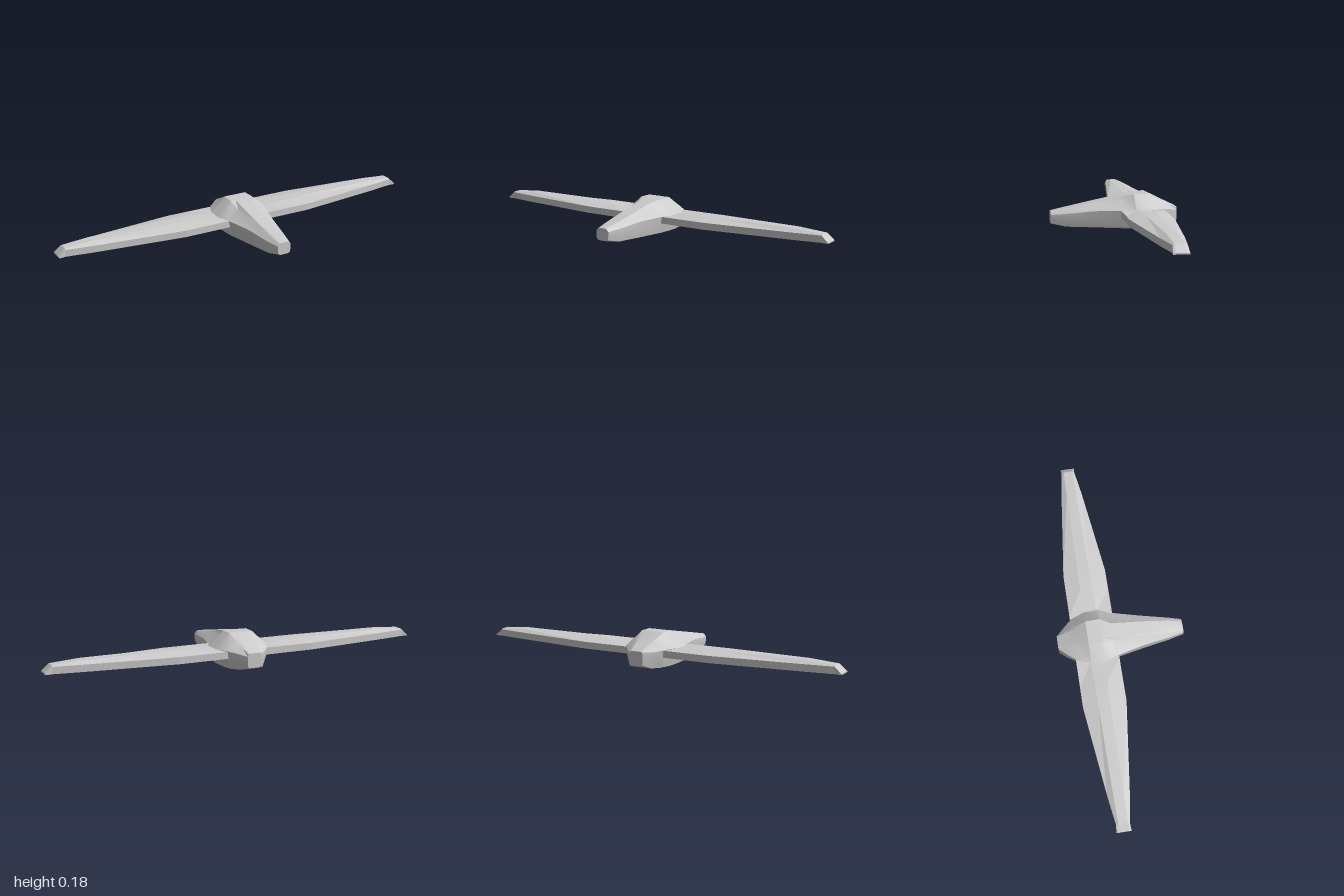
import * as THREE from 'three';
import { toCreasedNormals } from 'three/addons/utils/BufferGeometryUtils.js';

// Skins a list of equal-length closed rings of [x, y, z] points and caps both ends.
function loft(name, rings, crease) {
  const n = rings[0].length;
  const index = [];
  for (let i = 0; i < rings.length - 1; i++) {
    for (let j = 0; j < n; j++) {
      const k = (j + 1) % n;
      const a = i * n + j, b = i * n + k, c = b + n, d = a + n;
      index.push(a, b, c, a, c, d);
    }
  }
  const last = (rings.length - 1) * n;
  for (let j = 1; j < n - 1; j++) {
    index.push(0, j + 1, j, last, last + j, last + j + 1);
  }
  const geometry = new THREE.BufferGeometry();
  geometry.setAttribute('position', new THREE.Float32BufferAttribute(rings.flat(2), 3));
  geometry.setIndex(index);
  const mesh = new THREE.Mesh(
    toCreasedNormals(geometry, crease),
    new THREE.MeshStandardMaterial({ color: 0xcccccc })
  );
  mesh.name = name;
  return mesh;
}

// Fuselage stations, nose to tail: z, then [half width, y] of
// roof, roof edge, shoulder, flank, belly edge and keel.
const hullStations = [
  [0.325, [0.018, 0.095], [0.026, 0.092], [0.037, 0.08], [0.037, 0.06], [0.033, 0.038], [0.02, 0.032]],
  [0.25, [0.028, 0.11], [0.035, 0.106], [0.055, 0.086], [0.055, 0.06], [0.045, 0.019], [0.03, 0.017]],
  [0.11, [0.035, 0.138], [0.043, 0.131], [0.082, 0.101], [0.081, 0.065], [0.07, 0.017], [0.04, 0.01]],
  [-0.04, [0.037, 0.168], [0.052, 0.149], [0.12, 0.105], [0.113, 0.07], [0.1, 0.017], [0.05, 0.003]],
  [-0.097, [0.037, 0.18], [0.064, 0.18], [0.145, 0.107], [0.117, 0.07], [0.105, 0.017], [0.05, 0]],
  [-0.17, [0.037, 0.18], [0.062, 0.18], [0.14, 0.108], [0.117, 0.07], [0.105, 0.017], [0.05, 0]],
  [-0.24, [0.037, 0.146], [0.05, 0.143], [0.112, 0.108], [0.108, 0.07], [0.09, 0.017], [0.045, 0.01]],
  [-0.285, [0.037, 0.124], [0.042, 0.121], [0.073, 0.1], [0.073, 0.07], [0.062, 0.019], [0.037, 0.018]],
  [-0.325, [0.03, 0.105], [0.035, 0.102], [0.037, 0.09], [0.037, 0.06], [0.035, 0.038], [0.03, 0.032]],
];

// Wing stations, tip to root: x, front z, back z, edge y, ridge y, ridge front z, ridge back z
const wingStations = [
  [1.0, -0.1, -0.175, 0.074, 0.077, -0.113, -0.16],
  [0.965, -0.104, -0.171, 0.105, 0.11, -0.113, -0.16],
  [0.82, -0.081, -0.192, 0.105, 0.12, -0.112, -0.163],
  [0.36, -0.024, -0.245, 0.105, 0.12, -0.108, -0.168],
  [0.26, -0.024, -0.245, 0.105, 0.119, -0.107, -0.169],
  [0.13, -0.024, -0.245, 0.105, 0.107, -0.103, -0.172],
  [0.05, -0.024, -0.245, 0.105, 0.107, -0.103, -0.172],
];
const WING_BOTTOM = 0.07;

export function createModel() {
  const model = new THREE.Group();
  model.name = 'glider';

  // Faceted fuselage
  const hullRings = hullStations.map(([z, ...half]) => [
    ...half.map(([x, y]) => [x, y, z]),
    ...half.slice().reverse().map(([x, y]) => [-x, y, z]),
  ]);
  model.add(loft('fuselage', hullRings, 0.42));

  // Long tapered wings with a shallow raised ridge and a bevelled tip
  const wingRings = (side) => wingStations.map(([x, front, back, edge, ridge, rf, rb]) => [
    [side * x, ridge, rf],
    [side * x, ridge, rb],
    [side * x, edge, back],
    [side * x, WING_BOTTOM, back],
    [side * x, WING_BOTTOM, front],
    [side * x, edge, front],
  ]);
  model.add(loft('leftWing', wingRings(1), 0.1));
  model.add(loft('rightWing', wingRings(-1).reverse(), 0.1));

  return model;
}
